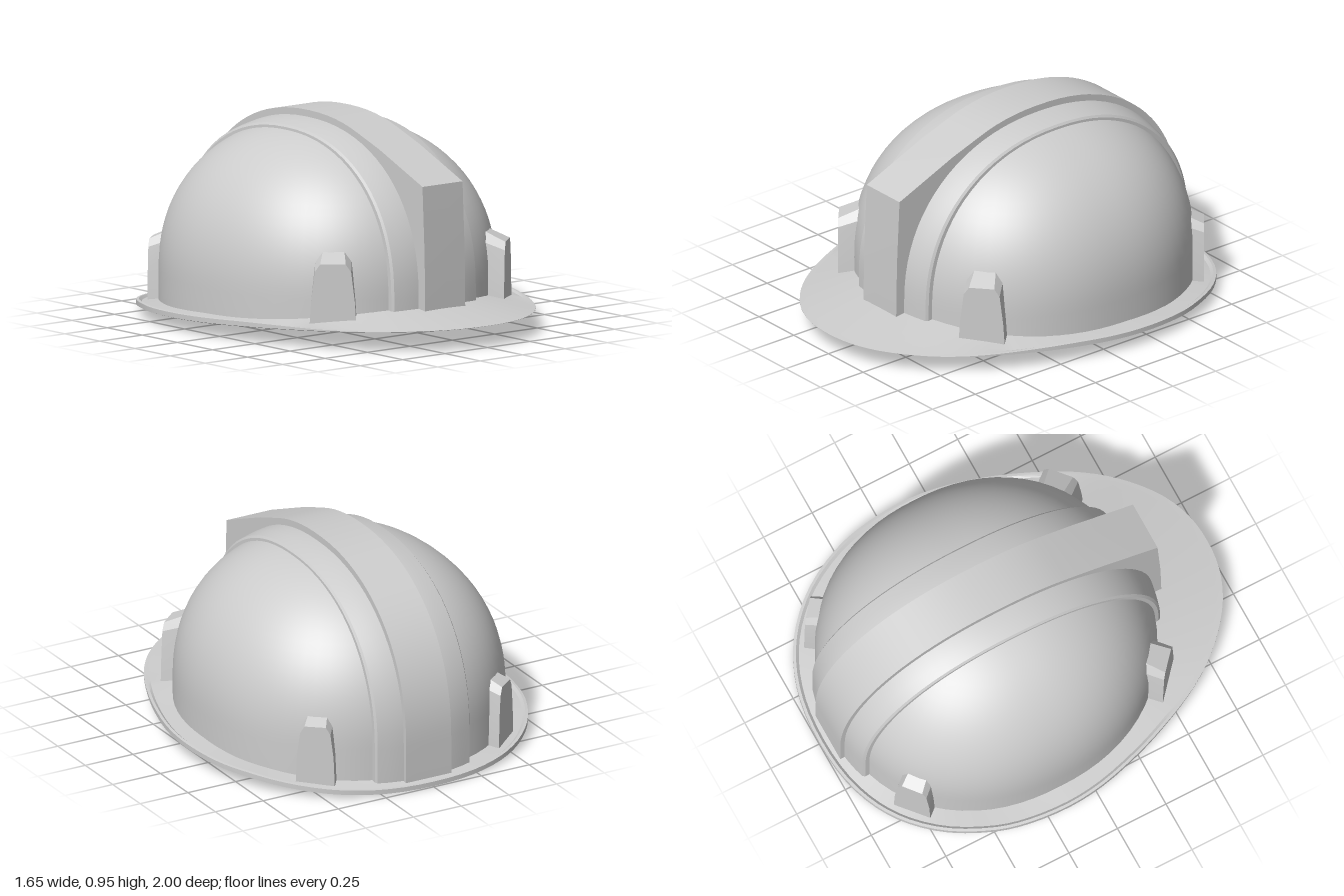
import * as THREE from 'three';
import { toCreasedNormals } from 'three/addons/utils/BufferGeometryUtils.js';
import { ConvexGeometry } from 'three/addons/geometries/ConvexGeometry.js';

// Dome: a superellipsoid of power N, centred at z = CZ, with its widest ring at y = CY
const N = 2.2, CZ = -0.14, CY = 0.2, RX = 0.725, RY = 0.71, RZ = 0.77;
const V = (x, y, z) => new THREE.Vector3(x, y, z);

// Height of the brim's lower edge, and of the hidden feet of parts standing in the brim
const edgeY = z => z > -0.5 ? 0.05 + 0.045 * (z + 0.5) / 1.5 : 0.05 - 0.05 * ((-0.5 - z) / 0.5) ** 1.6;
const footY = z => edgeY(z) + 0.02;

export function createModel() {
  const model = new THREE.Group();
  const shell = new THREE.MeshStandardMaterial({ color: 0xcccccc });
  shell.name = 'light grey shell';

  const add = (name, geometry) => {
    const mesh = new THREE.Mesh(geometry, shell);
    mesh.name = name;
    model.add(mesh);
    return mesh;
  };

  // Surface through rows of points
  const loft = (rows, crease) => {
    const cols = rows[0].length, index = [];
    for (let i = 0; i < rows.length - 1; i++) {
      for (let j = 0; j < cols - 1; j++) {
        const a = i * cols + j, c = a + cols;
        index.push(a, a + 1, c, a + 1, c + 1, c);
      }
    }
    const g = new THREE.BufferGeometry().setFromPoints(rows.flat());
    g.setIndex(index);
    return toCreasedNormals(g, crease);
  };

  // Lengthwise arc over the dome at a given x, raised by offY and offZ, from rear to front
  const arc = (x, offY, offZ, tEnd = 0, steps = 40) => {
    const f = (1 - (Math.abs(x) / RX) ** N) ** (1 / N);
    const pts = [];
    for (let i = 0; i <= steps; i++) {
      const t = Math.PI + (tEnd - Math.PI) * i / steps, c = Math.cos(t), s = Math.max(0, Math.sin(t));
      pts.push(V(x, CY + (RY + offY) * f * s ** (2 / N),
        CZ + (RZ + offZ) * f * Math.sign(c) * Math.abs(c) ** (2 / N)));
    }
    pts.unshift(V(x, footY(pts[0].z), pts[0].z));
    return pts;
  };
  const fullArc = (x, offY, offZ) => {
    const pts = arc(x, offY, offZ), z = pts[pts.length - 1].z;
    pts.push(V(x, footY(z), z));
    return pts;
  };

  // Dome with a straight skirt as its last row
  const dome = new THREE.SphereGeometry(1, 72, 25, 0, Math.PI * 2, 0, Math.PI / 2 * 25 / 24);
  const p = dome.attributes.position;
  for (let i = 0; i < p.count; i++) {
    const skirt = p.getY(i) < -0.01;
    const v = V(p.getX(i), Math.max(0, p.getY(i)), p.getZ(i));
    const k = (Math.abs(v.x) ** N + v.y ** N + Math.abs(v.z) ** N) ** (-1 / N);
    const z = CZ + v.z * k * RZ;
    p.setXYZ(i, v.x * k * RX, skirt ? footY(z) : CY + v.y * k * RY, z);
  }
  add('dome', toCreasedNormals(dome, 0.7));

  // Wide raised band over the dome, with low side walls
  const bandRows = [fullArc(-0.25, -0.03, -0.03), fullArc(-0.248, 0.012, 0.02)];
  for (let i = 0; i <= 10; i++) bandRows.push(fullArc(-0.24 + 0.048 * i, 0.02, 0.03));
  bandRows.push(fullArc(0.248, 0.012, 0.02), fullArc(0.25, -0.03, -0.03));
  add('raisedBand', loft(bandRows, 0.5));

  // Central ridge that runs forward into a blunt nose
  const ridgeOutline = arc(0, 0.045, 0.045, 1.16, 30).map(v => new THREE.Vector2(v.z, v.y));
  ridgeOutline.push(...[[0.37, 0.842], [0.68, 0.71], [0.695, 0.4], [0.7, footY(0.7)]]
    .map(([z, y]) => new THREE.Vector2(z, y)));
  const ridge = new THREE.ExtrudeGeometry(new THREE.Shape(ridgeOutline), { depth: 0.236, bevelEnabled: false });
  ridge.translate(0, 0, -0.118).rotateY(-Math.PI / 2);
  add('centreRidge', toCreasedNormals(ridge, 0.2));

  // Brim: outline half from the front tip to the rear, then mirrored
  const half = [[0, 1], [0.14, 0.985], [0.28, 0.93], [0.42, 0.825], [0.525, 0.71], [0.615, 0.57], [0.695, 0.4],
    [0.755, 0.24], [0.81, 0.03], [0.827, -0.15], [0.81, -0.35], [0.77, -0.5], [0.67, -0.69],
    [0.54, -0.83], [0.4, -0.92], [0.22, -0.98], [0, -1]];
  const other = half.slice(1, -1).reverse().map(([x, z]) => [-x, z]);
  const outline = new THREE.CatmullRomCurve3([...half, ...other].map(([x, z]) => V(x, 0, z)), true)
    .getPoints(96);
  const lip = z => 1 - THREE.MathUtils.smoothstep(z, 0.1, 0.8);
  const ring = (scale, height) => outline.map(o =>
    V(o.x * scale, height(o.z), CZ + (o.z - CZ) * scale));
  const inner = outline.map(o => {
    const dx = o.x, dz = o.z - CZ;
    const k = 0.96 / ((Math.abs(dx) / RX) ** N + (Math.abs(dz) / RZ) ** N) ** (1 / N);
    const w = dz * k / RZ;
    return V(dx * k, 0.09 + (w > 0 ? 0.07 * w * w : 0.045 * w), CZ + dz * k);
  });
  add('brim', loft([
    ring(0, () => 0.062),
    ring(0.985, edgeY),
    ring(1, z => edgeY(z) + 0.004),
    ring(1, z => edgeY(z) + 0.005 + 0.021 * lip(z)),
    ring(0.985, z => edgeY(z) + 0.007 + 0.021 * lip(z)),
    ring(0.97, z => edgeY(z) + 0.009 + 0.008 * lip(z)),
    inner,
  ], 0.5));

  // Accessory slots: tapered blocks whose tops slope back into the dome
  const slot = (name, x, z, nx, nz, w, foot, top) => {
    const face = [[1, foot], [0.94, top * 0.5], [0.78, top - 0.06], [0.55, top - 0.025]];
    const back = [[1, foot], [0.94, top * 0.5], [0.78, top - 0.02], [0.45, top + 0.025]];
    const pts = [];
    for (const s of [-1, 1]) {
      for (const [u, y] of face) pts.push(V(s * u * w, y, 0));
      for (const [u, y] of back) pts.push(V(s * u * w, y, -0.11));
    }
    const mesh = add(name, toCreasedNormals(new ConvexGeometry(pts), 0.2));
    mesh.position.set(x, 0, z);
    mesh.rotation.y = Math.atan2(nx, nz);
  };
  for (const s of [-1, 1]) {
    const side = s > 0 ? 'Left' : 'Right';
    slot('frontSlot' + side, s * 0.515, 0.522, s * 0.66, 0.75, 0.106, 0.1, 0.4);
    slot('rearSlot' + side, s * 0.5, -0.79, s * 0.63, -0.77, 0.09, 0.04, 0.35);
  }
  return model;
}
